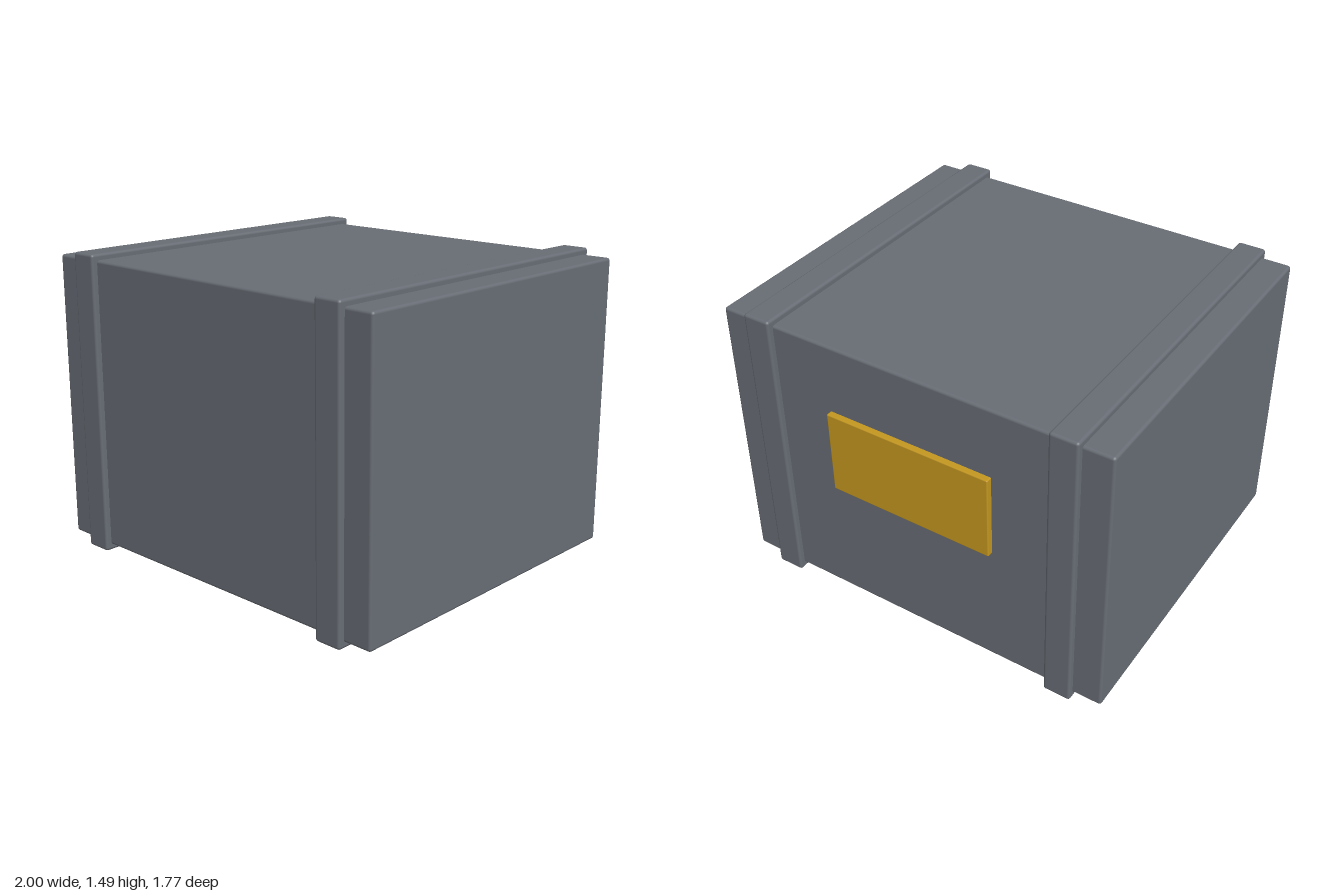
import * as THREE from 'three';
import { RoundedBoxGeometry } from 'three/addons/geometries/RoundedBoxGeometry.js';

const material = (name, color) => {
  const m = new THREE.MeshStandardMaterial({ color });
  m.name = name;
  return m;
};

export function createModel() {
  const model = new THREE.Group();
  model.name = 'crate';
  const steel = material('slateGrey', 0x686d75);
  const gold = material('goldenYellow', 0xc49720);

  // Box with softly rounded edges, placed by its centre
  const addBox = (name, mat, [w, h, d], [x, y, z], radius) => {
    const mesh = new THREE.Mesh(new RoundedBoxGeometry(w, h, d, 2, radius), mat);
    mesh.name = name;
    mesh.position.set(x, y, z);
    model.add(mesh);
  };

  // Main container
  addBox('body', steel, [2, 1.425, 1.71], [0, 0.7425, 0], 0.014);

  // Raised bands wrapping the body near each end
  for (const [name, side] of [['leftBand', 1], ['rightBand', -1]]) {
    addBox(name, steel, [0.14, 1.485, 1.77], [side * 0.785, 0.7425, 0], 0.014);
  }

  // Label plate on the back, partly sunk into the wall
  addBox('labelPlate', gold, [0.855, 0.43, 0.05], [0, 0.89, -0.86], 0.006);

  return model;
}
